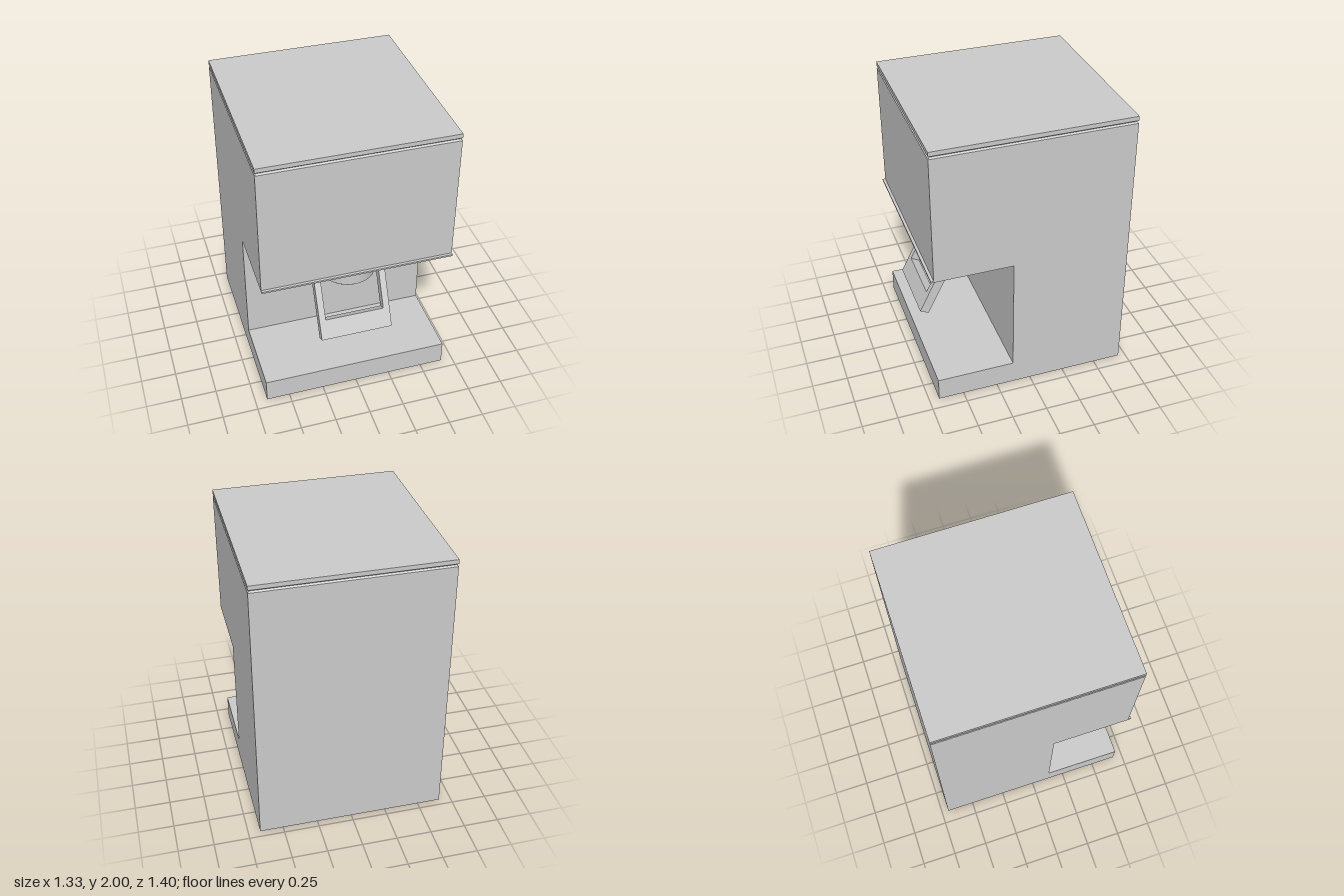
import * as THREE from 'three';

const W = 1.33, BACK = -0.7, FRONT = 0.68;
const DEPTH = FRONT - BACK, MID = (FRONT + BACK) / 2;

export function createModel() {
  const group = new THREE.Group();
  const grey = new THREE.MeshStandardMaterial({ color: 0xcccccc });
  const faceted = new THREE.MeshStandardMaterial({ color: 0xcccccc, flatShading: true });

  const add = (name, geometry, x, y, z, material = grey) => {
    const mesh = new THREE.Mesh(geometry, material);
    mesh.name = name;
    mesh.position.set(x, y, z);
    group.add(mesh);
    return mesh;
  };

  // Full-footprint slab whose top or bottom face is drawn in by an inset
  const slab = (name, y0, y1, bottomInset, topInset) => {
    const geo = new THREE.BoxGeometry(W, y1 - y0, DEPTH);
    const p = geo.attributes.position;
    for (let i = 0; i < p.count; i++) {
      const inset = p.getY(i) > 0 ? topInset : bottomInset;
      p.setX(i, p.getX(i) - Math.sign(p.getX(i)) * inset);
      p.setZ(i, p.getZ(i) - Math.sign(p.getZ(i)) * inset);
    }
    geo.computeVertexNormals();
    return add(name, geo, 0, (y0 + y1) / 2, MID);
  };

  // C-shaped housing: side profile (z, y) extruded across the width
  const profile = new THREE.Shape([
    [BACK, 0], [FRONT, 0], [FRONT, 0.17], [0.13, 0.17],
    [0.13, 1.03], [FRONT, 1.03], [FRONT, 1.95], [BACK, 1.95],
  ].map(([z, y]) => new THREE.Vector2(-z, y)));
  const housing = new THREE.ExtrudeGeometry(profile, { depth: W, bevelEnabled: false });
  housing.translate(0, 0, -W / 2).rotateY(Math.PI / 2);
  add('housing', housing, 0, 0, 0);

  // Lid with a fine V groove below it
  slab('housingChamfer', 1.95, 1.96, 0, 0.011);
  slab('lidChamfer', 1.96, 1.97, 0.011, 0);
  slab('lid', 1.97, 2, 0, 0);

  // Thin lip along the lower front edge of the overhang
  add('frontLip', new THREE.BoxGeometry(W, 0.012, 0.04), 0, 1.036, 0.68);

  // Dispensing collar with a bevelled lower edge
  const collar = add('collar', new THREE.CylinderGeometry(0.188, 0.188, 0.15, 40), 0, 0.959, 0.445);
  const bevel = add('collarBevel', new THREE.CylinderGeometry(0.188, 0.18, 0.008, 40), 0, 0.88, 0.445);

  // Faceted nozzle
  const nozzle = add('nozzle', new THREE.CylinderGeometry(0.105, 0.06, 0.068, 14), 0, 0.843, 0.445, faceted);
  for (const part of [collar, bevel, nozzle]) part.scale.z = 0.96;

  // Tilted lever frame with a rectangular window
  const rect = (T, x, y0, y1) => new T([[-x, y0], [x, y0], [x, y1], [-x, y1]]
    .map(([a, b]) => new THREE.Vector2(a, b)));
  const frame = rect(THREE.Shape, 0.256, -0.257, 0.257);
  frame.holes.push(rect(THREE.Path, 0.21, -0.117, 0.21));
  const frameGeo = new THREE.ExtrudeGeometry(frame, { depth: 0.067, bevelEnabled: false });
  frameGeo.translate(0, 0, -0.0335);
  add('leverFrame', frameGeo, 0, 0.69, 0.54).rotation.x = -0.464;

  return group;
}
